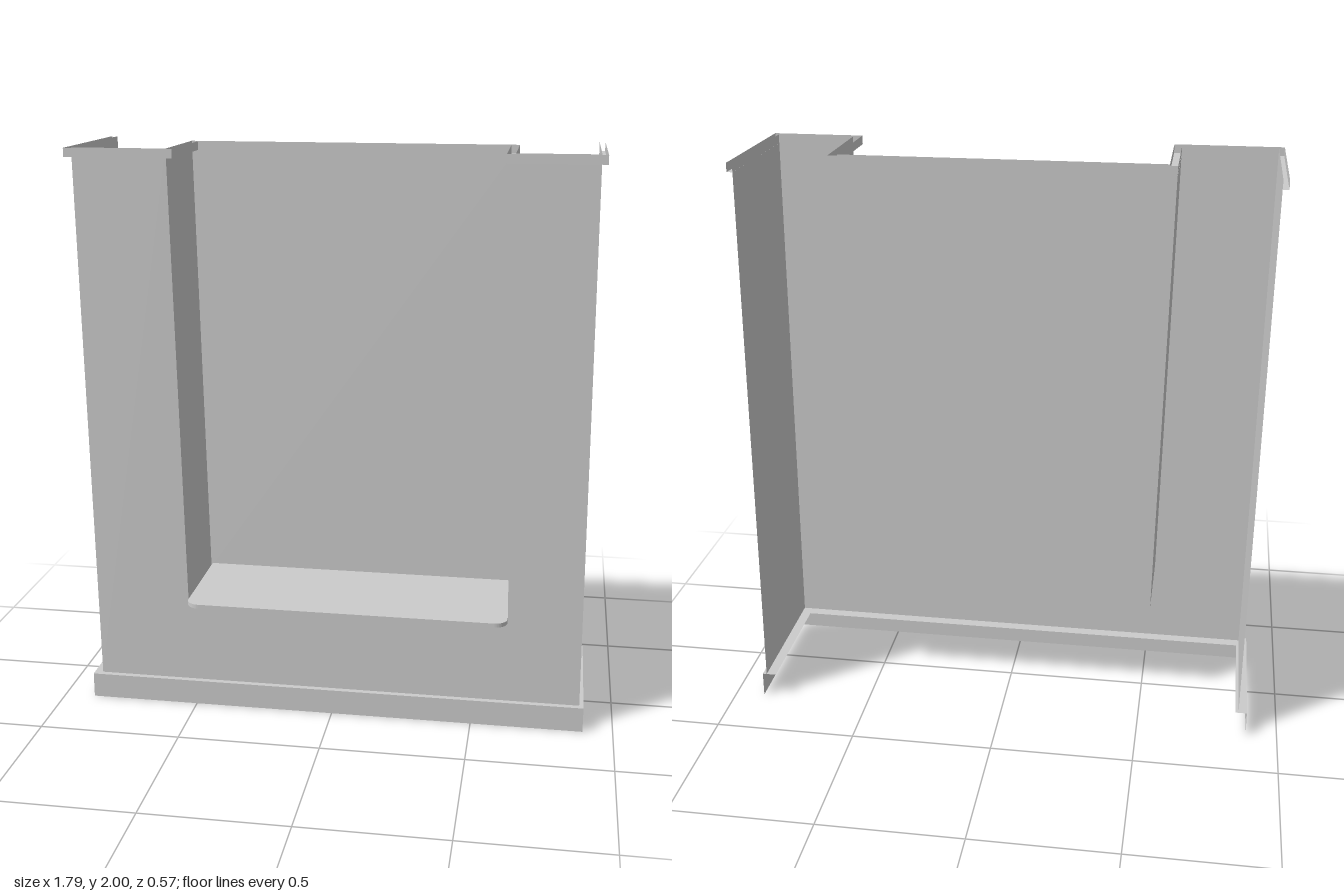
import * as THREE from 'three';

const grey = new THREE.MeshStandardMaterial({ color: 0xcccccc, flatShading: true, side: THREE.DoubleSide });

// Sheet stretched between two plan paths of [x, z] points, each at its own height
function ribbon(name, pathA, yA, pathB, yB) {
  const pos = [];
  for (let i = 0; i < pathA.length - 1; i++) {
    const a0 = [pathA[i][0], yA, pathA[i][1]], a1 = [pathA[i + 1][0], yA, pathA[i + 1][1]];
    const b0 = [pathB[i][0], yB, pathB[i][1]], b1 = [pathB[i + 1][0], yB, pathB[i + 1][1]];
    pos.push(...a0, ...a1, ...b1, ...a0, ...b1, ...b0);
  }
  const geo = new THREE.BufferGeometry();
  geo.setAttribute('position', new THREE.Float32BufferAttribute(pos, 3));
  geo.computeVertexNormals();
  return mesh(name, geo);
}

function mesh(name, geo) {
  const m = new THREE.Mesh(geo, grey);
  m.name = name;
  return m;
}

// Plan path of a U open to the back
const uPath = (l, r, front, back) => [[l, back], [l, front], [r, front], [r, back]];

export function createModel() {
  const group = new THREE.Group();
  const back = -0.285, front = 0.22, recess = -0.12;
  const baseY = 0.09, shelfY = 0.41, crownY = 1.97, topY = 2;

  // Front panel with the opening cut down from the top; the sides lean slightly
  const panel = new THREE.Shape([
    [-0.86, baseY], [0.88, baseY], [0.865, topY], [0.595, topY],
    [0.62, shelfY - 0.015], [-0.525, shelfY - 0.015], [-0.555, topY], [-0.88, topY],
  ].map(([x, y]) => new THREE.Vector2(x, y)));
  const panelGeo = new THREE.ShapeGeometry(panel);
  panelGeo.translate(0, 0, front);
  group.add(mesh('frontPanel', panelGeo));

  // Outer side panels
  group.add(ribbon('rightSidePanel', [[-0.86, back], [-0.86, front]], baseY, [[-0.88, back], [-0.88, front]], topY));
  group.add(ribbon('leftSidePanel', [[0.88, front], [0.88, back]], baseY, [[0.865, front], [0.865, back]], topY));

  // Recess walls: two cheeks and the back
  const niche = (l, r) => [[l, front], [l, recess], [r, recess], [r, front]];
  group.add(ribbon('recessWalls', niche(-0.525, 0.62), shelfY - 0.015, niche(-0.555, 0.595), topY));

  // Shelf with rounded front corners
  const l = -0.52, r = 0.62, z = 0.285, c = 0.045;
  const s = new THREE.Shape();
  s.moveTo(l, recess);
  s.lineTo(r, recess);
  s.lineTo(r, z - c);
  s.absarc(r - c, z - c, c, 0, Math.PI / 2);
  s.absarc(l + c, z - c, c, Math.PI / 2, Math.PI);
  const shelfGeo = new THREE.ExtrudeGeometry(s, { depth: 0.015, bevelEnabled: false, curveSegments: 6 });
  shelfGeo.rotateX(Math.PI / 2);
  shelfGeo.translate(0, shelfY, 0);
  group.add(mesh('shelf', shelfGeo));

  // Base trim: skirting board and the ledge carrying the panels
  const skirt = uPath(-0.89, 0.895, 0.24, back);
  group.add(ribbon('baseBoard', skirt, 0, skirt, baseY));
  group.add(ribbon('baseLedge', skirt, baseY, uPath(-0.85, 0.845, 0.18, back), baseY));

  // Crown trim following the top edge in and out of the recess
  const crownPath = (x0, x1, x2, x3, zf, zr) =>
    [[x0, back], [x0, zf], [x1, zf], [x1, zr], [x2, zr], [x2, zf], [x3, zf], [x3, back]];
  const inner = crownPath(-0.88, -0.555, 0.595, 0.865, front, recess);
  const outer = crownPath(-0.9, -0.528, 0.567, 0.885, 0.243, -0.098);
  group.add(ribbon('crownLedge', inner, crownY, outer, crownY));
  group.add(ribbon('crownRim', outer, crownY, outer, topY));

  return group;
}
